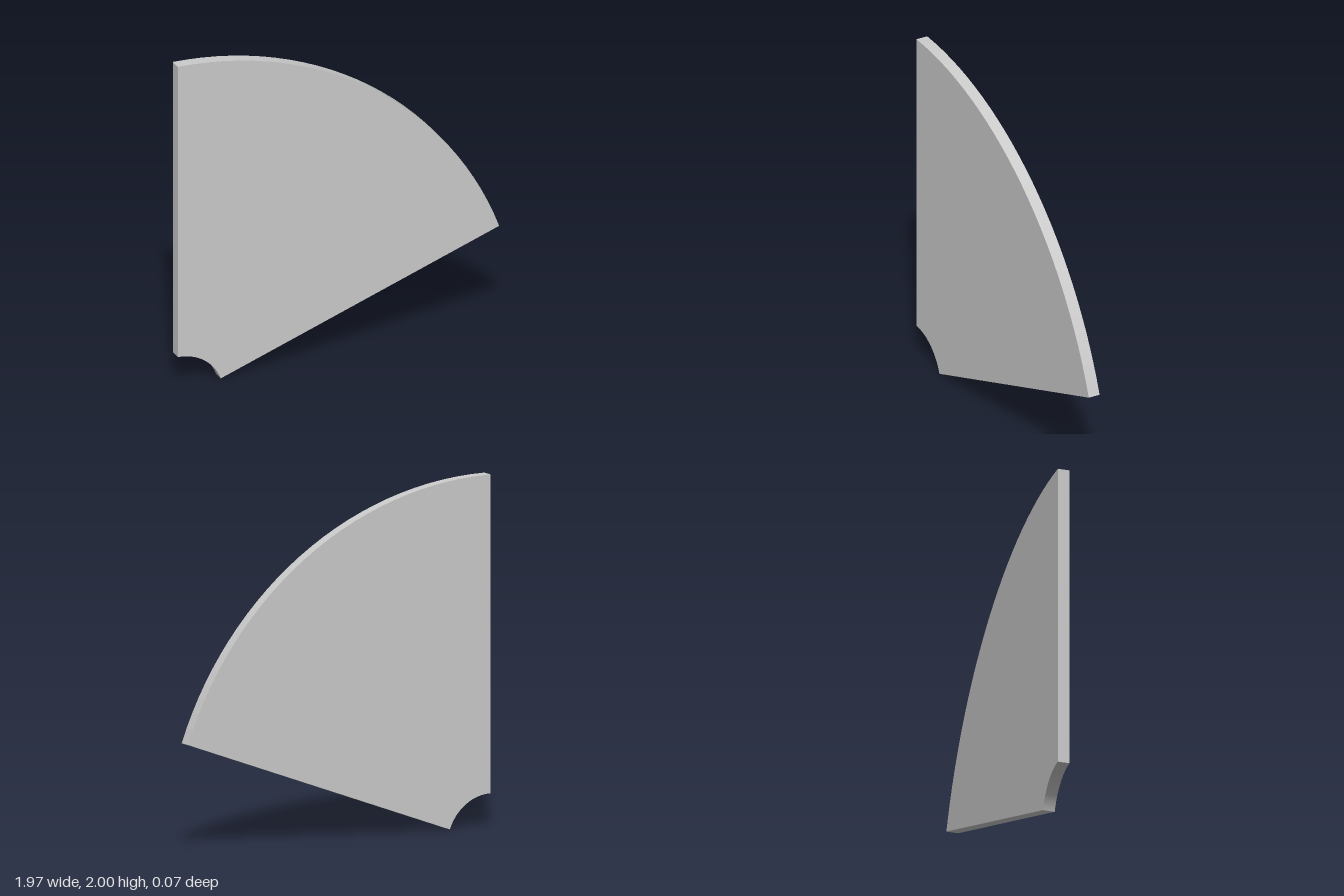
import * as THREE from 'three';

export function createModel() {
  const outer = 2.095, inner = 0.28, depth = 0.07;
  const start = THREE.MathUtils.degToRad(20), end = Math.PI / 2;

  // Ring sector outline: outer arc up, inner arc back down
  const outline = new THREE.Shape();
  outline.absarc(0, 0, outer, start, end, false);
  outline.absarc(0, 0, inner, end, start, true);
  outline.closePath();

  // Flat plate, one facet per 5 degrees of arc
  const geometry = new THREE.ExtrudeGeometry(outline, {
    depth, bevelEnabled: false, curveSegments: 14,
  });
  geometry.translate(-outer * Math.cos(start) / 2, -inner * Math.sin(start), -depth / 2);

  const plate = new THREE.Mesh(
    geometry,
    new THREE.MeshStandardMaterial({ color: 0xcccccc, flatShading: true }),
  );
  plate.name = 'sectorPlate';

  const group = new THREE.Group();
  group.name = 'ringSector';
  group.add(plate);
  return group;
}
